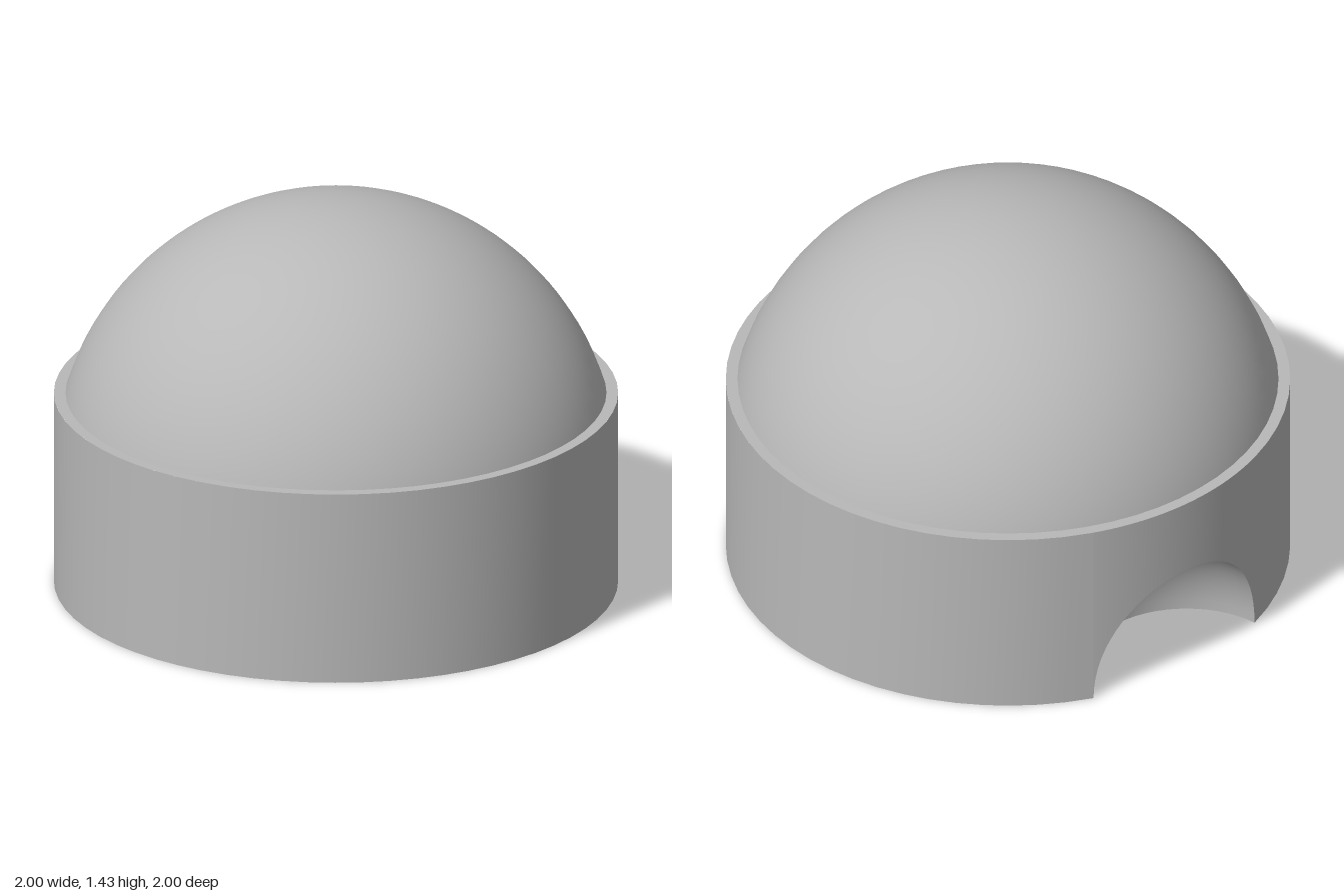
import * as THREE from 'three';

const WALL_H = 0.715;      // height of the cylindrical base
const DOME_Y = 0.43;       // centre height of the unit-radius dome
const NOTCH_R = 0.375;     // notch radius at floor level
const NOTCH_H = 0.43;      // notch height on the wall
const NOTCH_DIR = THREE.MathUtils.degToRad(238);
const STEPS = 16;

// Smooth surface through rows of points, each row listed left to right, bottom row first
function gridGeometry(rows) {
  const n = rows[0].length, index = [];
  for (let r = 0; r < rows.length - 1; r++) {
    for (let i = 0; i < n - 1; i++) {
      const a = r * n + i, b = a + 1, c = b + n, d = a + n;
      index.push(a, b, c, a, c, d);
    }
  }
  const geo = new THREE.BufferGeometry().setFromPoints(rows.flat());
  geo.setIndex(index);
  geo.computeVertexNormals();
  return geo;
}

export function createModel() {
  const grey = new THREE.MeshStandardMaterial({ color: 0xb8b8b8 });
  const model = new THREE.Group();
  model.name = 'domedBase';
  const add = (name, geo) => {
    const mesh = new THREE.Mesh(geo, grey);
    mesh.name = name;
    model.add(mesh);
    return mesh;
  };

  // Notch levels: height, radius and the angle where each level meets the wall
  const levels = [];
  for (let k = 0; k <= STEPS; k++) {
    const t = (k / STEPS) * Math.PI / 2;
    const s = k === STEPS ? 0 : NOTCH_R * Math.cos(t);
    levels.push({ y: NOTCH_H * Math.sin(t), s, theta: 2 * Math.asin(s / 2) });
  }
  const edge = levels[0].theta;

  // Wall columns: across the notch arch, then round the rest
  const columns = [
    ...levels.map(l => [-l.theta, l.y]),
    ...levels.slice(0, -1).reverse().map(l => [l.theta, l.y]),
  ];
  const floorLine = [];
  for (let i = 0; i <= 56; i++) {
    const a = edge + (i / 56) * (2 * Math.PI - 2 * edge);
    floorLine.push(new THREE.Vector2(Math.sin(a), Math.cos(a)));
    if (i > 0) columns.push([a, 0]);
  }
  const wallRow = top => columns.map(([a, y]) =>
    new THREE.Vector3(Math.sin(a), top ? WALL_H : y, Math.cos(a)));
  add('baseWall', gridGeometry([wallRow(false), wallRow(true)]));

  // Rounded hollow behind the arch
  const hollow = levels.map(({ y, s }) => {
    const w = Math.acos(-s / 2), row = [];
    for (let j = 0; j <= 28; j++) {
      const a = 2 * Math.PI - w - (j / 28) * (2 * Math.PI - 2 * w);
      row.push(new THREE.Vector3(s * Math.sin(a), y, 1 + s * Math.cos(a)));
    }
    return row;
  });
  add('notchHollow', gridGeometry(hollow));

  // Flat underside with the notch bitten out
  const bite = hollow[0].slice(1, -1).map(p => new THREE.Vector2(p.x, p.z));
  const underside = new THREE.ShapeGeometry(new THREE.Shape([...floorLine, ...bite]));
  add('underside', underside.rotateX(Math.PI / 2));

  // Ledge between wall and dome
  const domeR = Math.sqrt(1 - (WALL_H - DOME_Y) ** 2);
  add('rimLedge', new THREE.RingGeometry(domeR - 0.004, 1, 64).rotateX(-Math.PI / 2))
    .position.y = WALL_H;

  // Dome
  add('dome', new THREE.SphereGeometry(1, 64, 24, 0, Math.PI * 2, 0, Math.acos(WALL_H - DOME_Y)))
    .position.y = DOME_Y;

  // Turn the notch to the back corner
  for (const part of model.children) part.rotation.y = NOTCH_DIR;
  return model;
}
